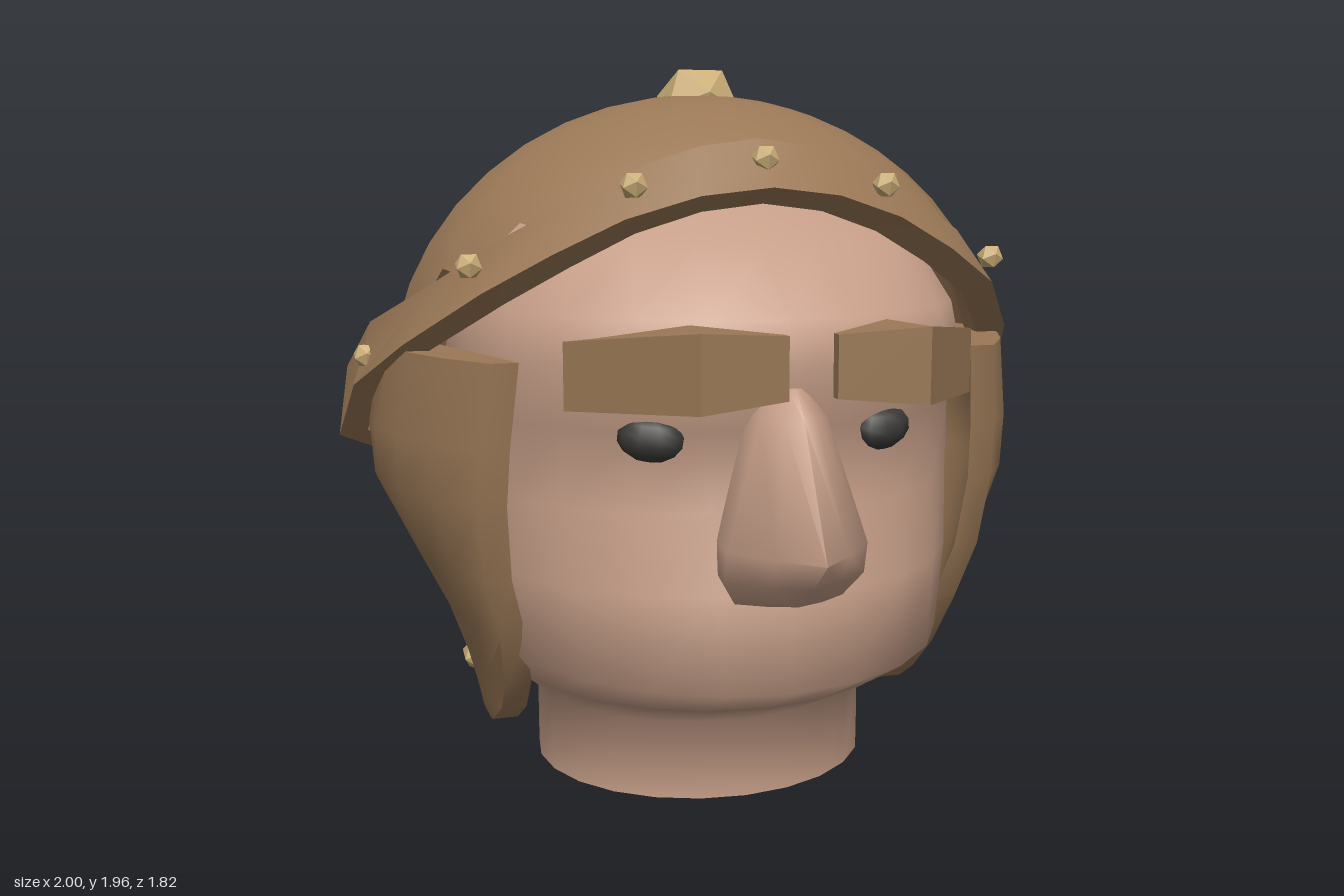
import * as THREE from 'three';
import { toCreasedNormals } from 'three/addons/utils/BufferGeometryUtils.js';

const mat = (name, color) => {
  const m = new THREE.MeshStandardMaterial({ color, side: THREE.DoubleSide });
  m.name = name;
  return m;
};

// Joins cross-section rings of equal length; `caps` lists the end rings to close.
function loft(rings, { loop = false, crease = 0.02, caps = loop ? [] : [0, rings.length - 1] } = {}) {
  const n = rings[0].length, pos = rings.flat(2), idx = [];
  const spans = loop ? rings.length : rings.length - 1;
  for (let i = 0; i < spans; i++) {
    const j = (i + 1) % rings.length;
    for (let k = 0; k < n; k++) {
      const l = (k + 1) % n;
      const a = i * n + k, b = i * n + l, c = j * n + l, d = j * n + k;
      idx.push(a, b, c, a, c, d);
    }
  }
  for (const r of caps) {
    const c = pos.length / 3;
    for (let q = 0; q < 3; q++) pos.push(rings[r].reduce((s, p) => s + p[q], 0) / n);
    for (let k = 0; k < n; k++) {
      const a = r * n + k, b = r * n + (k + 1) % n;
      if (r) idx.push(c, a, b); else idx.push(c, b, a);
    }
  }
  // Turn the faces outward whichever way the rings run
  const v = (i) => new THREE.Vector3().fromArray(pos, i * 3);
  let volume = 0;
  for (let i = 0; i < idx.length; i += 3) volume += v(idx[i]).dot(v(idx[i + 1]).cross(v(idx[i + 2])));
  if (volume < 0) idx.reverse();
  const g = new THREE.BufferGeometry();
  g.setAttribute('position', new THREE.Float32BufferAttribute(pos, 3));
  g.setIndex(idx);
  return toCreasedNormals(g, crease);
}

// Ellipsoid dome whose lower edge follows the slanted rim
function domeGeometry() {
  const g = new THREE.SphereGeometry(1, 20, 10);
  const p = g.attributes.position, uv = g.attributes.uv;
  for (let i = 0; i < p.count; i++) {
    const az = uv.getX(i) * Math.PI * 2, t = 1 - uv.getY(i);
    const at = (th) => [0.87 * Math.sin(th) * Math.sin(az), 1.1 + 0.79 * Math.cos(th),
      -0.11 + 0.8 * Math.sin(th) * Math.cos(az)];
    let lo = 0, hi = Math.PI;
    for (let k = 0; k < 30; k++) {
      const mid = (lo + hi) / 2, q = at(mid);
      if (q[1] > 1.24 + 0.8 * q[2]) lo = mid; else hi = mid;
    }
    p.setXYZ(i, ...at(lo * t));
  }
  return toCreasedNormals(g, 0.8);
}

export function createModel() {
  const group = new THREE.Group();
  const skin = mat('skin', 0xc69e88);
  const leather = mat('leather', 0x9a7856);
  const brass = mat('brass', 0xcbae78);
  const dark = mat('eyeDark', 0x3a3937);
  const add = (name, geo, m) => {
    const mesh = new THREE.Mesh(geo, m);
    mesh.name = name;
    group.add(mesh);
    return mesh;
  };

  // Head and open-ended neck: y, half width, front z, back z
  const head = [
    [0, 0.48, 0.34, -0.56], [0.22, 0.48, 0.34, -0.56], [0.31, 0.58, 0.51, -0.56],
    [0.42, 0.66, 0.71, -0.57], [0.65, 0.7, 0.66, -0.67], [0.85, 0.71, 0.61, -0.72],
    [1.05, 0.72, 0.58, -0.74], [1.21, 0.72, 0.72, -0.74], [1.33, 0.71, 0.64, -0.73],
    [1.5, 0.62, 0.43, -0.66], [1.66, 0.35, 0.15, -0.45],
  ].map(([y, w, f, b]) => Array.from({ length: 24 }, (_, i) => {
    const a = i / 24 * Math.PI * 2, c = -0.11, s = Math.cos(a);
    return [w * Math.sin(a), y, c + s * (s > 0 ? f - c : c - b)];
  }));
  add('head', loft(head, { crease: 1.9, caps: [head.length - 1] }), skin);

  // Nose: y, half width, side z, front z
  const nose = [
    [1.17, 0.035, 0.64, 0.7], [1.1, 0.085, 0.68, 0.755], [0.79, 0.18, 0.72, 0.91],
    [0.71, 0.18, 0.7, 0.82], [0.645, 0.14, 0.66, 0.73],
  ].map(([y, w, m, f]) => [[-w * 0.9, y, 0.55], [-w, y, m], [-w * 0.5, y, (m + f) / 2 + 0.01],
    [0, y, f], [w * 0.5, y, (m + f) / 2 + 0.01], [w, y, m], [w * 0.9, y, 0.55]]);
  add('nose', loft(nose, { crease: 1.3 }), skin);

  add('helmetDome', domeGeometry(), leather);

  // Rim band: x, z and y of the outer lower edge, inward lean, height
  const half = [
    [0, 0.53, 1.64, 0.12, 0.12], [0.18, 0.52, 1.62, 0.12, 0.12], [0.36, 0.485, 1.565, 0.12, 0.125],
    [0.53, 0.435, 1.48, 0.11, 0.13], [0.69, 0.355, 1.385, 0.1, 0.14],
    [0.86, 0.12, 1.24, 0.08, 0.15], [0.97, -0.12, 1.11, 0.05, 0.17], [1.0, -0.38, 0.93, 0.03, 0.2],
    [0.74, -0.58, 0.79, 0, 0.17], [0.4, -0.79, 0.6, -0.04, 0.14], [0, -0.82, 0.53, -0.055, 0.12],
  ];
  const stations = [...half, ...half.slice(1, -1).reverse().map(([x, ...r]) => [-x, ...r])];
  const band = stations.map(([x, z, y, lean, h]) => {
    const d = Math.hypot(x, z + 0.15);
    const drop = 0.04 * (z + 0.15) / 0.68;
    const inward = (t, py) => [x - x / d * t, py, z - (z + 0.15) / d * t];
    return [inward(0, y), inward(lean, y + h), inward(lean + 0.08, y + h - drop), inward(0.08, y - drop)];
  });
  add('rimBand', loft(band, { loop: true, crease: 0.5 }), leather);

  // Top knob and studs
  const stud = (name, x, y, z, r) => {
    const m = add(name, new THREE.IcosahedronGeometry(r, 0), brass);
    m.position.set(x, y, z);
    m.rotation.x = 0.3;
    return m;
  };
  stud('topKnob', 0, 1.87, -0.11, 0.12).scale.y = 0.9;
  stud('frontRimStud', 0, 1.71, 0.465, 0.036);
  stud('backRimStud', 0, 0.585, -0.85, 0.036);

  for (const s of [1, -1]) {
    const side = s > 0 ? 'left' : 'right';
    [[0.33, 1.645, 0.45], [0.71, 1.45, 0.3], [0.935, 1.19, -0.11], [0.77, 0.89, -0.555],
      [0.4, 0.66, -0.79]].forEach(([x, y, z]) => stud(side + 'RimStud', s * x, y, z, 0.036));
    stud(side + 'CheekStud', s * 0.64, 0.295, -0.2, 0.052);

    // Cheek guard: y, front z, back z, outer x, bend towards the front, bend towards the back
    const flap = [
      [1.22, 0.4, -0.6, 0.89, 0.7, 1.15], [1.0, 0.37, -0.63, 0.93, 0.85, 1.15], [0.85, 0.35, -0.62, 0.92, 0.85, 1.15],
      [0.65, 0.31, -0.61, 0.82, 0.6, 1], [0.48, 0.26, -0.57, 0.735, 0.5, 0.95], [0.33, 0.18, -0.54, 0.68, 0.5, 1],
      [0.22, 0.07, -0.46, 0.65, 0.6, 1.2], [0.15, -0.04, -0.36, 0.635, 0.6, 1.2], [0.115, -0.15, -0.25, 0.62, 0.6, 1.2],
    ].map(([y, f, b, w, bendF, bendB]) => {
      const row = (t) => Array.from({ length: 8 }, (_, i) => {
        const z = f + (b - f) * i / 7, d = z + 0.15;
        return [s * (w - t - (d > 0 ? bendF : bendB) * d * d), y, z];
      });
      return [...row(0), ...row(0.07).reverse()];
    });
    add(side + 'CheekGuard', loft(flap, { crease: 1.2 }), leather);

    // Eyebrow: x front, x back, z front, z back, lower y, upper y
    const brow = [
      [0.06, 0.06, 0.81, 0.78, 1.16, 1.31], [0.28, 0.25, 0.84, 0.65, 1.14, 1.325], [0.53, 0.45, 0.55, 0.51, 1.12, 1.285],
    ].map(([xf, xb, zf, zb, y0, y1]) => [[s * xf, y0, zf], [s * xf, y1, zf], [s * xb, y1, zb], [s * xb, y0, zb]]);
    add(side + 'Eyebrow', loft(brow), leather);

    // Eye
    const eye = add(side + 'Eye', new THREE.SphereGeometry(1, 10, 7), dark);
    eye.scale.set(0.086, 0.058, 0.055);
    eye.position.set(s * 0.305, 1.033, 0.505);
    eye.rotation.set(0, s * 0.35, s * 0.1);
  }
  return group;
}
